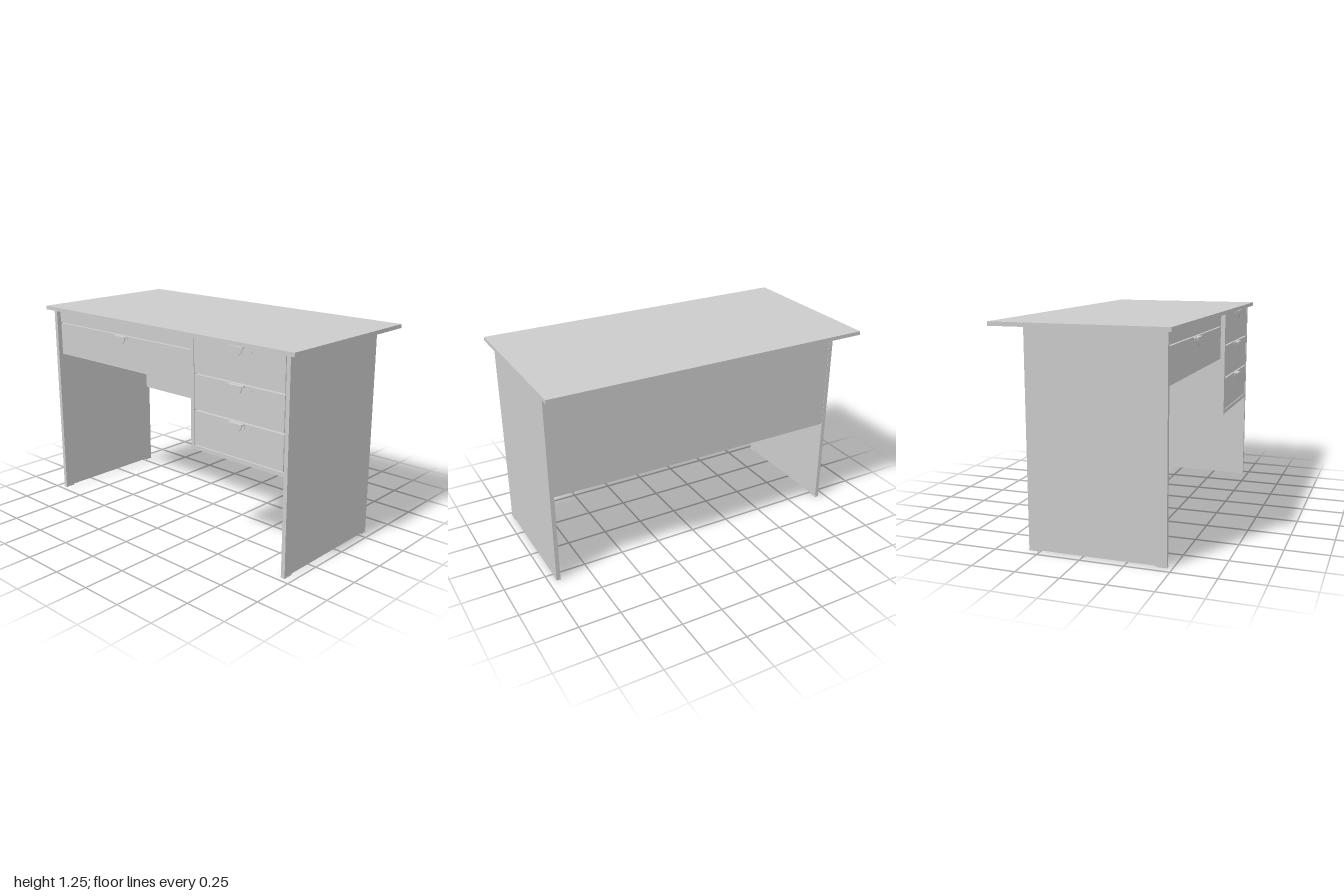
import * as THREE from 'three';

const material = new THREE.MeshStandardMaterial({ color: 0xcccccc });

// Box given by its min and max extents on each axis
function panel(name, [x0, x1], [y0, y1], [z0, z1]) {
  const mesh = new THREE.Mesh(new THREE.BoxGeometry(x1 - x0, y1 - y0, z1 - z0), material);
  mesh.position.set((x0 + x1) / 2, (y0 + y1) / 2, (z0 + z1) / 2);
  mesh.name = name;
  return mesh;
}

// Half-moon pull: hanging plate, top flange and a short lip against the drawer
function createHandle() {
  const handle = new THREE.Group();
  handle.name = 'handle';
  const shape = new THREE.Shape();
  shape.absarc(0, 0, 0.05, Math.PI, Math.PI * 2, false);
  shape.closePath();
  const plate = new THREE.Mesh(
    new THREE.ExtrudeGeometry(shape, { depth: 0.005, bevelEnabled: false, curveSegments: 20 }), material);
  plate.position.z = 0.02;
  plate.name = 'handlePlate';
  handle.add(
    plate,
    panel('handleFlange', [-0.05, 0.05], [-0.005, 0], [0, 0.02]),
    panel('handleLip', [-0.05, 0.05], [-0.022, -0.005], [0, 0.003]));
  return handle;
}

// Small round lock with a key slot
function createLock() {
  const lock = new THREE.Group();
  lock.name = 'lock';
  const barrel = new THREE.Mesh(new THREE.CylinderGeometry(0.009, 0.009, 0.004, 16), material);
  barrel.rotation.x = Math.PI / 2;
  barrel.name = 'lockBarrel';
  lock.add(barrel, panel('keySlot', [-0.001, 0.001], [-0.005, 0.005], [0.002, 0.003]));
  return lock;
}

// Drawer with front board, box body, handle and lock
function createDrawer(name, x, y, front, back) {
  const drawer = new THREE.Group();
  drawer.name = name;
  const centre = (x[0] + x[1]) / 2;
  const handle = createHandle();
  handle.position.set(centre, y[1] - 0.002, front);
  const lock = createLock();
  lock.position.set(centre + 0.09, y[1] - 0.02, front);
  drawer.add(
    panel('drawerFront', x, y, [front - 0.022, front]),
    panel('drawerBody', [x[0] + 0.012, x[1] - 0.012], [y[0] + 0.012, y[1] - 0.025], [back, front - 0.022]),
    handle, lock);
  return drawer;
}

export function createModel() {
  const desk = new THREE.Group();
  desk.name = 'desk';

  // Table top
  desk.add(panel('tableTop', [-1, 1], [1.223, 1.246], [-0.5, 0.5]));

  // Side panels on low feet
  for (const side of [-1, 1]) {
    const span = (a, b) => (side > 0 ? [a, b] : [-b, -a]);
    desk.add(panel('sidePanel', span(0.93, 0.955), [0.007, 1.223], [-0.315, 0.47]));
    for (const z of [[0.412, 0.472], [-0.317, -0.262]]) {
      desk.add(panel('foot', span(0.929, 0.956), [0, 0.007], z));
    }
  }

  // Back panel
  desk.add(panel('backPanel', [-0.93, 0.93], [0.56, 1.223], [-0.313, -0.29]));

  // Drawer pedestal carcass
  desk.add(panel('pedestalDivider', [0.267, 0.291], [0.568, 1.223], [-0.29, 0.47]));
  desk.add(panel('pedestalBottom', [0.291, 0.93], [0.572, 0.596], [-0.29, 0.467]));

  // Three stacked pedestal drawers
  for (const y of [0.603, 0.812, 1.02]) {
    desk.add(createDrawer('pedestalDrawer', [0.294, 0.925], [y, y + 0.2], 0.469, -0.2));
  }

  // Recessed rail and wide centre drawer over the knee space
  desk.add(panel('frontRail', [-0.93, 0.267], [1.141, 1.223], [0.42, 0.443]));
  desk.add(createDrawer('centreDrawer', [-0.927, 0.264], [0.932, 1.135], 0.443, -0.2));

  return desk;
}
